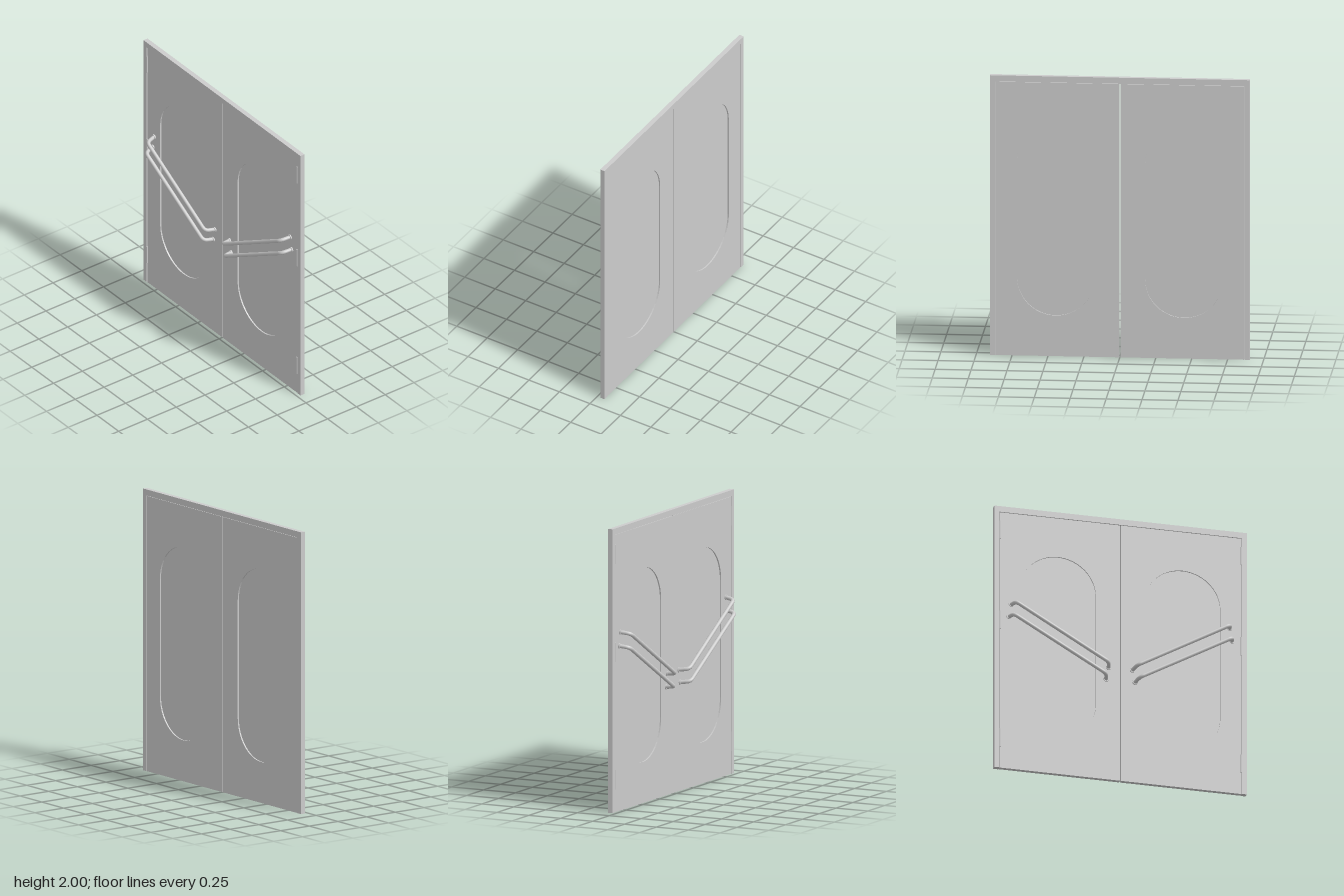
import * as THREE from 'three';

const grey = new THREE.MeshStandardMaterial({ color: 0xcccccc });

function add(parent, name, geometry) {
  const mesh = new THREE.Mesh(geometry, grey);
  mesh.name = name;
  parent.add(mesh);
  return mesh;
}

// Extrude a front-facing outline between two depths
function slab(shape, zBack, zFront) {
  const geometry = new THREE.ExtrudeGeometry(shape, {
    depth: zFront - zBack, bevelEnabled: false, curveSegments: 12,
  });
  return geometry.translate(0, 0, zBack);
}

function polygon(points) {
  return new THREE.Shape(points.map(([x, y]) => new THREE.Vector2(x, y)));
}

// Upright window outline with semicircular ends
function windowOutline(ShapeClass) {
  const x = 0.446, r = 0.27, low = 0.56, high = 1.39;
  const outline = new ShapeClass();
  outline.moveTo(x + r, low);
  outline.lineTo(x + r, high);
  outline.absarc(x, high, r, 0, Math.PI, false);
  outline.lineTo(x - r, low);
  outline.absarc(x, low, r, Math.PI, Math.PI * 2, false);
  return outline;
}

// Bar handle: two splayed legs joined to a straight bar by rounded corners
function handleGeometry(inner, outer) {
  const zWall = -0.03, zBar = 0.046, bend = 0.03;
  const dir = outer.clone().sub(inner).normalize();
  const wallA = new THREE.Vector3(inner.x, inner.y, zWall);
  const wallB = new THREE.Vector3(outer.x, outer.y, zWall);
  const cornerA = new THREE.Vector3(inner.x, inner.y, zBar).addScaledVector(dir, 0.02);
  const cornerB = new THREE.Vector3(outer.x, outer.y, zBar).addScaledVector(dir, -0.02);
  const toward = (from, to) => from.clone().add(to.clone().sub(from).setLength(bend));
  const a1 = toward(cornerA, wallA), a2 = toward(cornerA, cornerB);
  const b1 = toward(cornerB, cornerA), b2 = toward(cornerB, wallB);
  const path = new THREE.CurvePath();
  path.add(new THREE.LineCurve3(wallA, a1));
  path.add(new THREE.QuadraticBezierCurve3(a1, cornerA, a2));
  path.add(new THREE.LineCurve3(a2, b1));
  path.add(new THREE.QuadraticBezierCurve3(b1, cornerB, b2));
  path.add(new THREE.LineCurve3(b2, wallB));
  return new THREE.TubeGeometry(path, 80, 0.014, 10, false);
}

// One door leaf on the model's left (+x), or mirrored to the other side
function buildLeaf(side) {
  const leaf = new THREE.Group();
  leaf.name = side > 0 ? 'leftDoor' : 'rightDoor';
  const mirror = (geometry) => {
    if (side > 0) return geometry;
    geometry.scale(-1, 1, 1);
    // Restore the winding after mirroring
    const flat = geometry.index ? geometry.toNonIndexed() : geometry;
    for (const attribute of Object.values(flat.attributes)) {
      const { array, itemSize: n } = attribute;
      for (let i = 0; i < array.length; i += 3 * n) {
        for (let k = 0; k < n; k++) {
          [array[i + n + k], array[i + 2 * n + k]] = [array[i + 2 * n + k], array[i + n + k]];
        }
      }
    }
    return flat;
  };

  // Panel with its window opening, and the pane set inside it
  const panel = polygon([[0.003, 0], [0.864, 0], [0.864, 1.954], [0.003, 1.954]]);
  panel.holes.push(windowOutline(THREE.Path));
  add(leaf, 'doorPanel', mirror(slab(panel, -0.057, -0.028)));
  add(leaf, 'windowPane', mirror(slab(windowOutline(THREE.Shape), -0.047, -0.038)));

  // Pair of slanted push bars with mounting collars
  const bars = [
    [new THREE.Vector2(0.085, 0.856), new THREE.Vector2(0.783, 1.258)],
    [new THREE.Vector2(0.103, 0.765), new THREE.Vector2(0.799, 1.163)],
  ];
  for (const [inner, outer] of bars) {
    const i3 = new THREE.Vector3(inner.x, inner.y, 0);
    const o3 = new THREE.Vector3(outer.x, outer.y, 0);
    add(leaf, 'pushBar', mirror(handleGeometry(i3, o3)));
    for (const end of [inner, outer]) {
      const collar = new THREE.CylinderGeometry(0.019, 0.019, 0.01, 12);
      collar.rotateX(Math.PI / 2).translate(end.x, end.y, -0.024);
      add(leaf, 'barCollar', mirror(collar));
    }
  }

  // Hinge barrels along the outer edge
  for (const y of [0.23, 1.13, 1.82]) {
    const hinge = new THREE.CylinderGeometry(0.006, 0.006, 0.137, 10);
    add(leaf, 'hinge', hinge.translate(side * 0.864, y, -0.026));
  }
  return leaf;
}

export function createModel() {
  const model = new THREE.Group();
  model.name = 'doubleDoor';

  // Surround, open at the floor
  const frame = polygon([
    [-0.904, 0], [-0.867, 0], [-0.867, 1.957], [0.867, 1.957],
    [0.867, 0], [0.904, 0], [0.904, 2], [-0.904, 2],
  ]);
  add(model, 'doorFrame', slab(frame, -0.06, -0.025));

  for (const side of [1, -1]) model.add(buildLeaf(side));
  return model;
}
